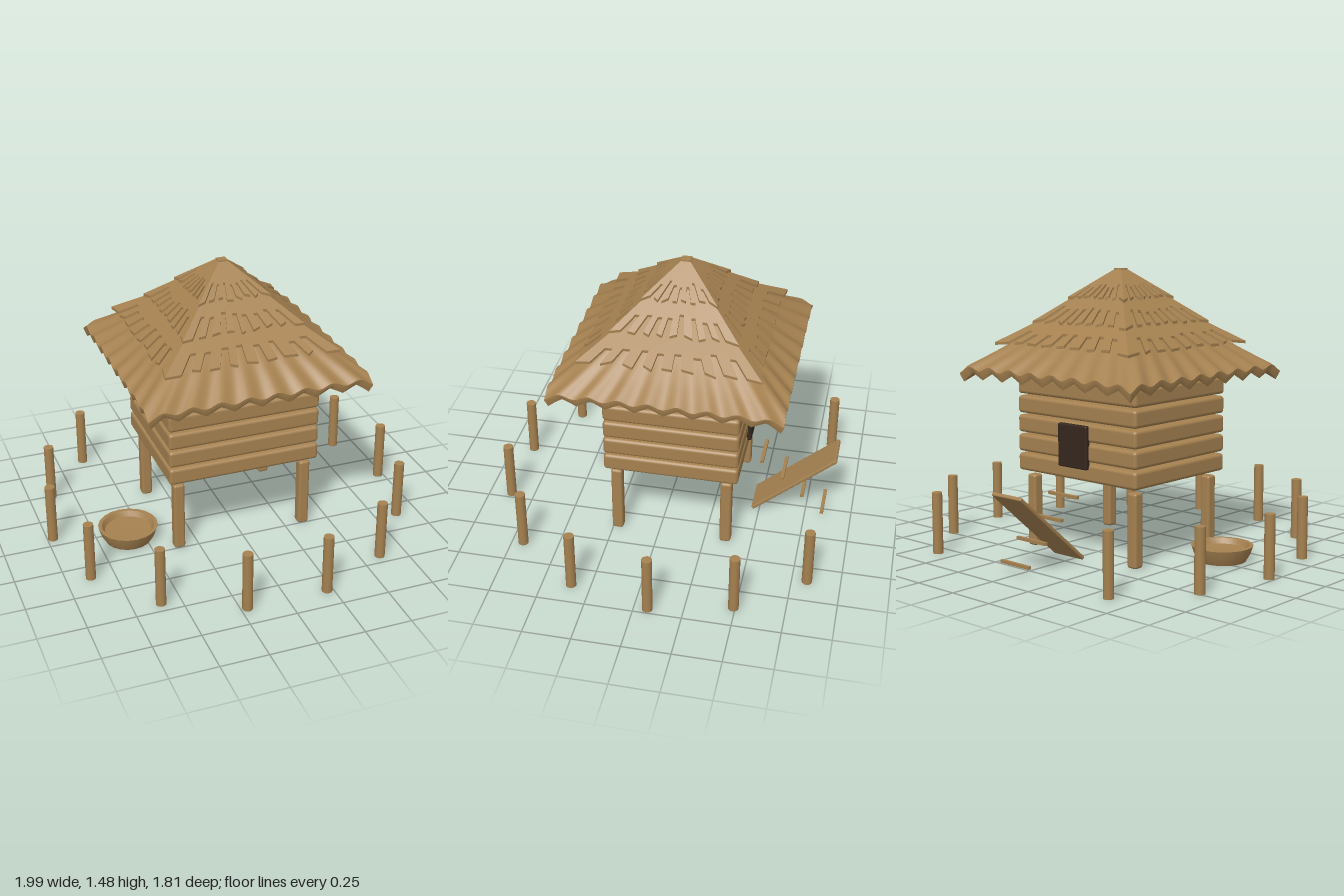
import * as THREE from 'three';
import { toCreasedNormals } from 'three/addons/utils/BufferGeometryUtils.js';
import { RoundedBoxGeometry } from 'three/addons/geometries/RoundedBoxGeometry.js';

const CZ = -0.07; // centre of the hut along z

export function createModel() {
  const model = new THREE.Group();
  model.name = 'stiltHut';
  const wood = new THREE.MeshStandardMaterial({ name: 'wood', color: 0xa58150 });
  const darkWood = new THREE.MeshStandardMaterial({ name: 'darkWood', color: 0x35271d });

  let seed = 11;
  const rand = () => (seed = (seed * 16807) % 2147483647) / 2147483647;

  const add = (name, geometry, x, y, z, material = wood, parent = model) => {
    const mesh = new THREE.Mesh(geometry, material);
    mesh.name = name;
    mesh.position.set(x, y, z);
    parent.add(mesh);
    return mesh;
  };

  // Walls: five stacked rounded timbers with narrow gaps
  const timber = new RoundedBoxGeometry(0.83, 0.092, 0.71, 3, 0.018);
  for (let i = 0; i < 5; i++) add('wallTimber', timber, 0, 0.457 + i * 0.1025, CZ);

  // Stilts
  const stilt = new RoundedBoxGeometry(0.06, 0.387, 0.06, 2, 0.014);
  for (const x of [-0.355, 0.355])
    for (const z of [0.225, -0.36]) add('stilt', stilt, x, 0.1935, z);

  // Door at the back
  add('door', new RoundedBoxGeometry(0.2, 0.225, 0.03, 2, 0.008), 0, 0.5875, -0.43, darkWood);

  // Ramp board and loose rungs
  const ramp = add('rampBoard', new RoundedBoxGeometry(0.205, 0.02, 0.58, 2, 0.006), 0, 0.215, -0.683);
  ramp.rotation.x = 0.718;
  const rung = new THREE.BoxGeometry(0.2, 0.016, 0.018);
  for (let i = 0; i < 4; i++) add('rung', rung, 0, 0.346 - i * 0.0975, -0.507 - i * 0.1125);

  // Ring of fence posts with an opening at the back
  const post = new THREE.CylinderGeometry(0.027, 0.027, 0.325, 12);
  for (let i = 0; i < 14; i++) {
    const a = (i * Math.PI * 2) / 14;
    const z = 0.97 * Math.sin(a);
    if (z < -0.9) continue;
    add('fencePost', post, 0.97 * Math.cos(a), 0.1625, z + CZ);
  }

  // Shallow bowl beside the hut
  const bowlProfile = [[0, 0], [0.125, 0], [0.145, 0.035], [0.16, 0.08], [0.14, 0.08],
    [0.125, 0.052], [0, 0.045]].map(([r, y]) => new THREE.Vector2(r, y));
  add('bowl', toCreasedNormals(new THREE.LatheGeometry(bowlProfile, 20), 0.7), -0.585, 0, 0.055);

  // Roof
  const roof = new THREE.Group();
  roof.name = 'roof';
  roof.position.z = CZ;
  model.add(roof);
  add('thatchBase', thatchBase(), 0, 0, 0, wood, roof);

  // Overlapping thatch layers: inner and outer half width, heights, notch start, notches
  const layers = [
    [0.2, 1.278, 0.465, 1.095, 0.375, 8],
    [0.08, 1.41, 0.325, 1.205, 0.235, 8],
    [0.02, 1.475, 0.195, 1.33, 0.115, 7],
  ];
  for (const layer of layers)
    for (let side = 0; side < 4; side++)
      add('thatchLayer', thatchLayer(...layer, rand), 0, 0, 0, wood, roof).rotation.y = side * Math.PI / 2;
  add('roofCap', new THREE.BoxGeometry(0.05, 0.02, 0.05), 0, 1.467, 0, wood, roof);
  return model;
}

// Square roof shell with a rippled, zigzag eave and an underside
function thatchBase() {
  // half width, height, ripple strength, zigzag strength
  const rows = [
    [0.03, 1.455, 0, 0], [0.19, 1.29, 0, 0], [0.325, 1.17, 0, 0], [0.4, 1.112, 0.002, 0],
    [0.465, 1.062, 0.005, 0], [0.53, 1.014, 0.009, 0], [0.595, 0.968, 0.012, 0],
    [0.595, 0.962, 0.012, 0], [0.58, 0.928, 0, 0.019], [0.5, 0.985, 0, 0.012],
    [0.4, 1.06, 0, 0], [0.03, 1.4, 0, 0],
  ];
  const SEG = 64, N = SEG * 4;
  const positions = [], index = [];
  rows.forEach(([h, y, ripple, zig]) => {
    for (let i = 0; i < N; i++) {
      const side = Math.floor(i / SEG);
      const s = ((i % SEG) / SEG) * 2 - 1;
      const tri = Math.abs((((s + 1) * 4) % 1) * 2 - 1) * 2 - 1;
      const droop = (ripple || zig) ? 0.02 * Math.abs(s) ** 10 * (h / 0.595) : 0;
      const p = new THREE.Vector3(h * s,
        y - ripple * Math.cos((s + 1) * Math.PI * 8) - zig * tri - droop, h);
      p.applyAxisAngle(new THREE.Vector3(0, 1, 0), side * Math.PI / 2);
      positions.push(p.x, p.y, p.z);
    }
  });
  for (let r = 0; r < rows.length - 1; r++)
    for (let i = 0; i < N; i++) {
      const j = (i + 1) % N;
      const a = r * N + i, b = r * N + j, c = a + N, d = b + N;
      index.push(a, c, b, b, c, d);
    }
  const g = new THREE.BufferGeometry();
  g.setAttribute('position', new THREE.Float32BufferAttribute(positions, 3));
  g.setIndex(index);
  return toCreasedNormals(g, 0.75);
}

// One sloping side of a thatch layer, with radial notches cut in its lower edge
function thatchLayer(h0, y0, h1, y1, notch, count, rand) {
  const pts = [[-h0, h0], [h0, h0], [h1, h1]];
  const step = 1.8 / count;
  for (let i = 0; i < count; i++) {
    const mid = 0.9 - (i + 0.5) * step + (rand() - 0.5) * 0.04;
    const w = step * (0.2 + rand() * 0.08);
    const top = notch + (rand() - 0.3) * 0.025;
    const tip = h1 - rand() * 0.02, tip2 = h1 - rand() * 0.02;
    pts.push([(mid + w) * tip, tip], [(mid + w * 0.8) * top, top],
      [(mid - w * 0.8) * top, top], [(mid - w) * tip2, tip2]);
  }
  pts.push([-h1, h1]);
  const shape = new THREE.Shape(pts.map(([u, h]) => new THREE.Vector2(u, h)));
  const g = new THREE.ExtrudeGeometry(shape, { depth: 0.014, bevelEnabled: false });
  const p = g.attributes.position;
  for (let i = 0; i < p.count; i++) {
    const u = p.getX(i), h = p.getY(i), d = p.getZ(i);
    p.setXYZ(i, -u, y0 + ((y1 - y0) * (h - h0)) / (h1 - h0) + d - 0.014, h);
  }
  g.computeVertexNormals();
  return g;
}
